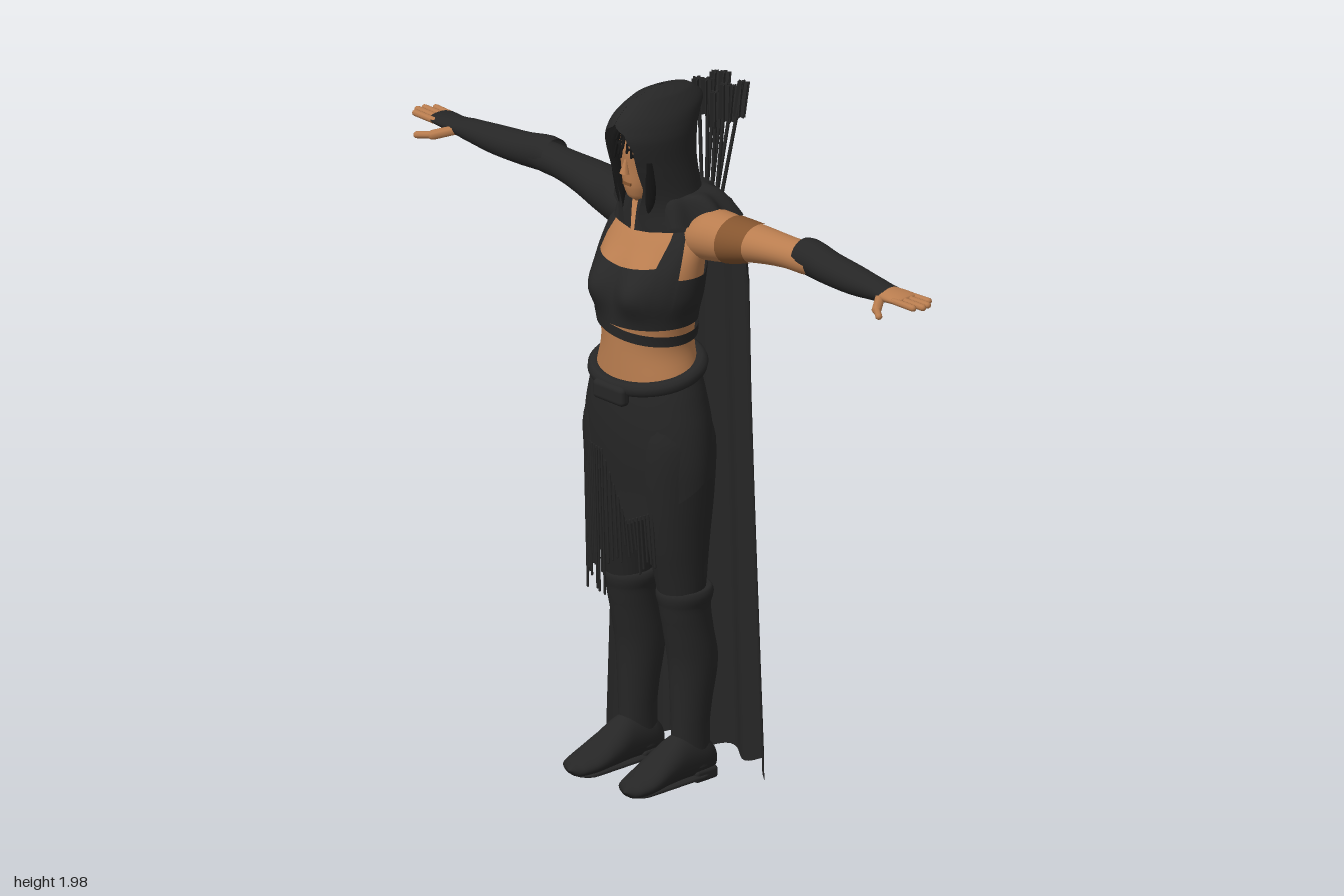
import * as THREE from 'three';
import { mergeVertices } from 'three/addons/utils/BufferGeometryUtils.js';
import { ParametricGeometry } from 'three/addons/geometries/ParametricGeometry.js';
import { RoundedBoxGeometry } from 'three/addons/geometries/RoundedBoxGeometry.js';

const mat = (name, color, side = THREE.FrontSide) => {
  const m = new THREE.MeshStandardMaterial({ color, side });
  m.name = name;
  return m;
};
const { lerp, clamp } = THREE.MathUtils;
const { sin, cos, PI, exp, abs } = Math;

// Smooth surface from a rule (u, v) -> [x, y, z]
function grid(fn, nu, nv) {
  const g = new ParametricGeometry((u, v, p) => p.set(...fn(u, v)), nu, nv);
  g.deleteAttribute('uv');
  g.deleteAttribute('normal');
  const m = mergeVertices(g, 1e-5);
  m.computeVertexNormals();
  return m;
}

// Cross-section at key k from rings [key, centre1, centre2, radius1, radius2]
function at(rings, k) {
  let i = 0;
  while (i < rings.length - 2 && k > rings[i + 1][0]) i++;
  const b = rings[i], c = rings[i + 1], a = rings[i - 1] || b, d = rings[i + 2] || c;
  const t = clamp((k - b[0]) / (c[0] - b[0]), 0, 1);
  return [1, 2, 3, 4].map(j => {
    const v = 0.5 * (2 * b[j] + (c[j] - a[j]) * t + (2 * a[j] - 5 * b[j] + 4 * c[j] - d[j]) * t * t
      + (3 * b[j] - a[j] - 3 * c[j] + d[j]) * t ** 3);
    return j > 2 ? Math.max(v, 0.001) : v;
  });
}

// Oval loft along an axis; s = -1 mirrors an x loft to the right side
function loft(rings, axis = 'y', s = 1, n = 28) {
  return grid((u, v) => {
    const f = v * (rings.length - 1), i = Math.min(Math.floor(f), rings.length - 2);
    const k = lerp(rings[i][0], rings[i + 1][0], f - i), a = u * 2 * PI;
    const [c1, c2, r1, r2] = at(rings, k);
    if (axis === 'y') return [c1 + r1 * sin(a), k, c2 + r2 * cos(a)];
    if (axis === 'x') return [s * k, c1 + r1 * cos(a), c2 + s * r2 * sin(a)];
    return [c1 - r1 * sin(a), c2 + r2 * cos(a), k];
  }, n, (rings.length - 1) * 4);
}

// Piecewise-linear lookup
function line(pts, x) {
  for (let i = 1; i < pts.length; i++) {
    const [x0, y0] = pts[i - 1], [x1, y1] = pts[i];
    if (x <= x1) return lerp(y0, y1, clamp((x - x0) / (x1 - x0), 0, 1));
  }
  return pts[pts.length - 1][1];
}

// Torso cross-sections and surface
const TORSO = [[1.1, 0, .06, .18, .12], [1.2, 0, .06, .15, .12], [1.27, 0, .06, .13, .12], [1.35, 0, .06, .14, .12],
  [1.42, 0, .055, .16, .12], [1.5, 0, .04, .165, .11], [1.57, 0, .015, .16, .088], [1.62, 0, -.005, .125, .065],
  [1.66, 0, 0, .06, .052], [1.74, 0, .02, .05, .05]];
function torso(a, y, grow = 0) {
  const [cx, cz, rx, rz] = at(TORSO, y);
  const x = cx + (rx + grow) * sin(a);
  const bust = .042 * exp(-(((abs(x) - .08) / .06) ** 2)) * exp(-(((y - 1.435) / .065) ** 2)) * Math.max(0, cos(a));
  return [x, y, cz + (rz + grow) * cos(a) + bust];
}
const shell = (lo, hi, grow, nv = 14) => grid((u, v) => {
  const a = (u * 2 - 1) * PI;
  return torso(a, lerp(lo(a), hi(a), v), grow);
}, 120, nv);

export function createModel() {
  const root = new THREE.Group();
  const skin = mat('skin', 0xb97d4f);
  const cloth = mat('charcoal cloth', 0x262626, THREE.DoubleSide);
  const hair = mat('black hair', 0x161616, THREE.DoubleSide);
  const brown = mat('brown band', 0x85552f);
  const green = mat('pale green quiver', 0x8fb89b, THREE.DoubleSide);
  let seed = 7;
  const rnd = () => (seed = (seed * 16807) % 2147483647) / 2147483647;

  const add = (name, geo, m, parent = root) => {
    const o = new THREE.Mesh(geo, m);
    o.name = name;
    parent.add(o);
    return o;
  };
  const rod = (name, a, b, r, m, parent = root) => {
    const p = new THREE.Vector3(...a), q = new THREE.Vector3(...b), d = q.clone().sub(p);
    const o = add(name, new THREE.CapsuleGeometry(r, d.length(), 3, 8), m, parent);
    o.position.copy(p).add(q).multiplyScalar(.5);
    o.quaternion.setFromUnitVectors(new THREE.Vector3(0, 1, 0), d.normalize());
    return o;
  };

  // Torso, cropped top and diagonal rib strap
  add('torso', shell(() => 1.1, () => 1.74, 0, 40), skin);
  const neckline = [[-PI, 1.62], [-.8, 1.61], [-.68, 1.51], [0, 1.495], [.68, 1.51], [.76, 1.61], [1.02, 1.61],
    [1.15, 1.48], [1.95, 1.48], [2.2, 1.6], [PI, 1.62]];
  add('croppedTop', shell(() => 1.335, a => line(neckline, a), .008, 20), cloth);
  add('ribStrap', shell(a => 1.305 - .022 * sin(a), a => 1.335 - .022 * sin(a), .01, 3), cloth);

  // Arms, bracers and hands
  const ARM = [[.08, 1.56, -.01, .045, .05], [.16, 1.585, -.02, .07, .075], [.24, 1.59, -.03, .064, .07],
    [.33, 1.602, -.035, .052, .06], [.43, 1.606, -.045, .043, .05], [.5, 1.606, -.05, .043, .046], [.54, 1.606, -.05, .04, .045]];
  const BRACER = [[.49, 1.612, -.055, .048, .05], [.52, 1.612, -.055, .05, .05], [.6, 1.605, -.05, .045, .048],
    [.7, 1.602, -.045, .04, .045], [.8, 1.605, -.037, .03, .037], [.85, 1.606, -.035, .021, .038]];
  for (const s of [1, -1]) {
    const side = s > 0 ? 'left' : 'right';
    add(side + 'UpperArm', loft(ARM, 'x', s), s > 0 ? skin : cloth);
    add(side + 'Bracer', loft(BRACER, 'x', s), cloth);
    const palm = [[.8, 1.605, -.036, .02, .03], [.85, 1.607, -.034, .019, .038], [.89, 1.61, -.033, .016, .042],
      [.92, 1.612, -.033, .01, .038], [.925, 1.612, -.033, .001, .001]];
    add(side + 'Palm', loft(palm, 'x', s), s > 0 ? skin : cloth);
    [[.965, -.066], [.985, -.044], [.99, -.022], [.975, 0]].forEach(([x, z]) =>
      rod(side + 'Finger', [s * .9, 1.611, z * .95], [s * x, 1.612, z], .0095, skin));
    rod(side + 'ThumbBase', [s * .835, 1.6, -.01], [s * .87, 1.588, .035], .014, skin);
    rod(side + 'Thumb', [s * .87, 1.588, .035], [s * .905, 1.585, .06], .01, skin);
  }
  add('armBand', loft([.24, .27, .3, .33].map(k => {
    const [a, b, c, d] = at(ARM, k);
    return [k, a, b, c + .003, d + .003];
  }), 'x'), brown);

  // Head with nose, eyes, brows and mouth
  add('head', loft([[1.67, 0, .09, .012, .015], [1.685, 0, .085, .033, .04], [1.72, 0, .075, .05, .062], [1.77, 0, .06, .062, .08],
    [1.83, 0, .055, .067, .09], [1.88, 0, .05, .06, .083], [1.92, 0, .045, .035, .05], [1.93, 0, .045, .001, .001]]), skin);
  const nose = add('nose', new THREE.ConeGeometry(.014, .055, 8), skin);
  nose.position.set(0, 1.785, .142);
  nose.rotation.x = -.15;
  add('mouth', new THREE.BoxGeometry(.03, .008, .008), brown).position.set(0, 1.727, .136);
  for (const s of [1, -1]) {
    const eye = add('eye', new THREE.SphereGeometry(.011, 12, 8), hair);
    eye.scale.set(1, .5, .35);
    eye.position.set(s * .025, 1.813, .137);
    const brow = add('eyebrow', new THREE.BoxGeometry(.03, .006, .008), hair);
    brow.position.set(s * .027, 1.832, .136);
    brow.rotation.set(0, s * .3, s * .15);
    // Side locks framing the face
    add('hairLock', loft([[1.62, s * .05, .105, .003, .003], [1.68, s * .058, .1, .014, .02], [1.76, s * .065, .1, .016, .03],
      [1.84, s * .058, .105, .02, .035], [1.9, s * .03, .1, .02, .03], [1.92, s * .02, .09, .001, .001]], 'y', 1, 12), hair);
  }
  for (let i = 0; i < 9; i++) {
    const x = -.045 + i * .011;
    rod('hairStrand', [x * .6, 1.895, .135], [x * 1.15, 1.79 + .06 * rnd(), .152 - abs(x) * .4], .0035, hair);
  }

  // Pointed hood, open around the face
  const HOOD = [[1.6, 0, 0, .14, .125], [1.65, 0, .01, .115, .118], [1.7, 0, .02, .104, .118], [1.78, 0, .04, .097, .13],
    [1.86, 0, .048, .094, .145], [1.9, 0, .035, .084, .15], [1.93, 0, .018, .068, .145], [1.965, 0, .012, .04, .095],
    [1.98, 0, .01, .002, .01]];
  const opening = [[1.6, .16], [1.66, .3], [1.72, .55], [1.84, .6], [1.885, .4], [1.905, .005]];
  add('hood', grid((u, v) => {
    const y = lerp(1.6, 1.98, v), gap = line(opening, y), a = lerp(gap, 2 * PI - gap, u);
    const [cx, cz, rx, rz] = at(HOOD, y);
    return [cx + rx * sin(a), y, cz + rz * cos(a)];
  }, 56, 48), cloth);

  // Draped cowl over the shoulders
  add('cowl', grid((u, v) => {
    const a = lerp(.14, 2 * PI - .14, u), drop = 1 - v;
    const wide = lerp(.1, .185 - .05 * cos(a), drop), deep = lerp(.1, .145, drop);
    const fold = .012 * sin(a * 9) * drop;
    return [(wide + fold) * sin(a), 1.69 - .1 * drop + .035 * drop * sin(a) ** 2 + .025 * sin(v * PI) + fold * .6,
      (deep + fold) * cos(a) - .025 * drop];
  }, 90, 12), cloth);

  // Long cape with curled edges and soft folds
  const CAPE = [[0, .31], [.35, .285], [.7, .262], [.9, .255], [.96, .235], [1, .18]];
  add('cape', grid((u, v) => {
    const s = u * 2 - 1, d = 1 - v;
    const hem = .025 + .018 * s + .012 * sin(s * 11);
    const z = -.068 - (.088 + .03 * d) * (1 - s ** 4) + (.004 + .008 * d) * cos(s * 15);
    return [s * line(CAPE, v), lerp(hem, 1.65 - .04 * s * s, v), z];
  }, 72, 50), cloth);

  // Quiver with a fan of arrows
  const pocket = add('quiverPocket', new THREE.SphereGeometry(.058, 20, 10, 0, 2 * PI, PI / 2, PI / 2), green);
  pocket.scale.set(1, 1.15, .5);
  pocket.position.set(0, 1.56, -.165);
  for (let i = 0; i < 8; i++) {
    const x = -.063 + .018 * i, back = i % 2;
    const arrow = new THREE.Group();
    arrow.name = 'arrow';
    root.add(arrow);
    const tip = [x, 1.89 + .07 * rnd(), -.185 - .045 * back];
    rod('shaft', [x * .4, 1.53, -.165], tip, .005, cloth, arrow);
    for (let k = 0; k < 3; k++) {
      const f = add('fletching', new THREE.BoxGeometry(.034, .1, .003), cloth, arrow);
      f.position.set(tip[0] * .95, tip[1] - .05, tip[2] + .003);
      f.rotation.set(-.1 * back, k * PI / 3, -x * .9);
    }
  }

  // Wrapped skirt with a slanted hem
  const SKIRT = [[.74, 0, .05, .2, .115], [.85, 0, .05, .207, .122], [.95, 0, .055, .212, .13], [1.05, 0, .057, .202, .135],
    [1.14, 0, .06, .178, .13], [1.21, 0, .06, .152, .122]];
  const hemLine = [[-PI, .95], [-.24, .95], [.14, .76], [1.57, .9], [PI, .95]];
  const skirtPoint = (a, y) => {
    const [cx, cz, rx, rz] = at(SKIRT, y);
    return [cx + rx * sin(a), y, cz + rz * cos(a)];
  };
  add('skirt', grid((u, v) => {
    const a = (u * 2 - 1) * PI;
    return skirtPoint(a, lerp(line(hemLine, a), 1.21 - .03 * cos(a), v));
  }, 80, 16), cloth);

  // Hanging fringe below the hem
  for (let i = 0; i < 30; i++) {
    const a = -1.25 + i * .063, p = skirtPoint(a, line(hemLine, a) + .01);
    const end = a < -.95 ? .72 + .1 * rnd() : a < -.2 ? .5 + .12 * rnd() : .62 + .08 * rnd();
    rod('fringe', p, [p[0], end, p[2] - .012], .0032, cloth);
  }

  // Sagging belt and buckle
  const loop = Array.from({ length: 20 }, (_, i) => {
    const a = i / 20 * 2 * PI;
    return new THREE.Vector3(.158 * sin(a), 1.19 - .03 * cos(a), .06 + .125 * cos(a));
  });
  add('belt', new THREE.TubeGeometry(new THREE.CatmullRomCurve3(loop, true), 64, .021, 10, true), cloth);
  add('buckle', new RoundedBoxGeometry(.12, .055, .035, 3, .014), cloth).position.set(0, 1.142, .195);

  // Legs and tall boots
  for (const s of [1, -1]) {
    const side = s > 0 ? 'left' : 'right', x = s * .103;
    add(side + 'Leg', loft([[.48, x, .03, .055, .055], [.58, x, .035, .066, .07], [.7, x, .045, .077, .09],
      [.85, x, .05, .092, .108], [1, x, .055, .1, .115], [1.1, x, .06, .07, .1]]), cloth);
    add(side + 'Boot', loft([[.05, x, -.005, .045, .06], [.12, x, 0, .045, .058], [.2, x, 0, .05, .058], [.35, x, -.008, .063, .072],
      [.46, x, .012, .064, .072], [.52, x, .022, .067, .074], [.55, x, .022, .075, .081], [.57, x, .022, .07, .076],
      [.575, x, .022, .05, .055]]), cloth);
    add(side + 'Foot', loft([[-.072, x, .06, .001, .001], [-.065, x, .06, .035, .04], [-.03, x, .075, .046, .062], [.05, x, .08, .05, .066],
      [.11, x, .065, .055, .05], [.18, x + s * .004, .045, .057, .031], [.23, x + s * .006, .037, .042, .022],
      [.25, x + s * .006, .034, .001, .001]], 'z'), cloth);
    const sole = new THREE.CapsuleGeometry(.05, .19, 6, 14);
    sole.rotateX(PI / 2).scale(1, .2, 1);
    add(side + 'Sole', sole, cloth).position.set(x, .02, .09);
    add(side + 'Heel', new RoundedBoxGeometry(.085, .035, .08, 2, .01), cloth).position.set(x, .022, -.025);
  }
  return root;
}
